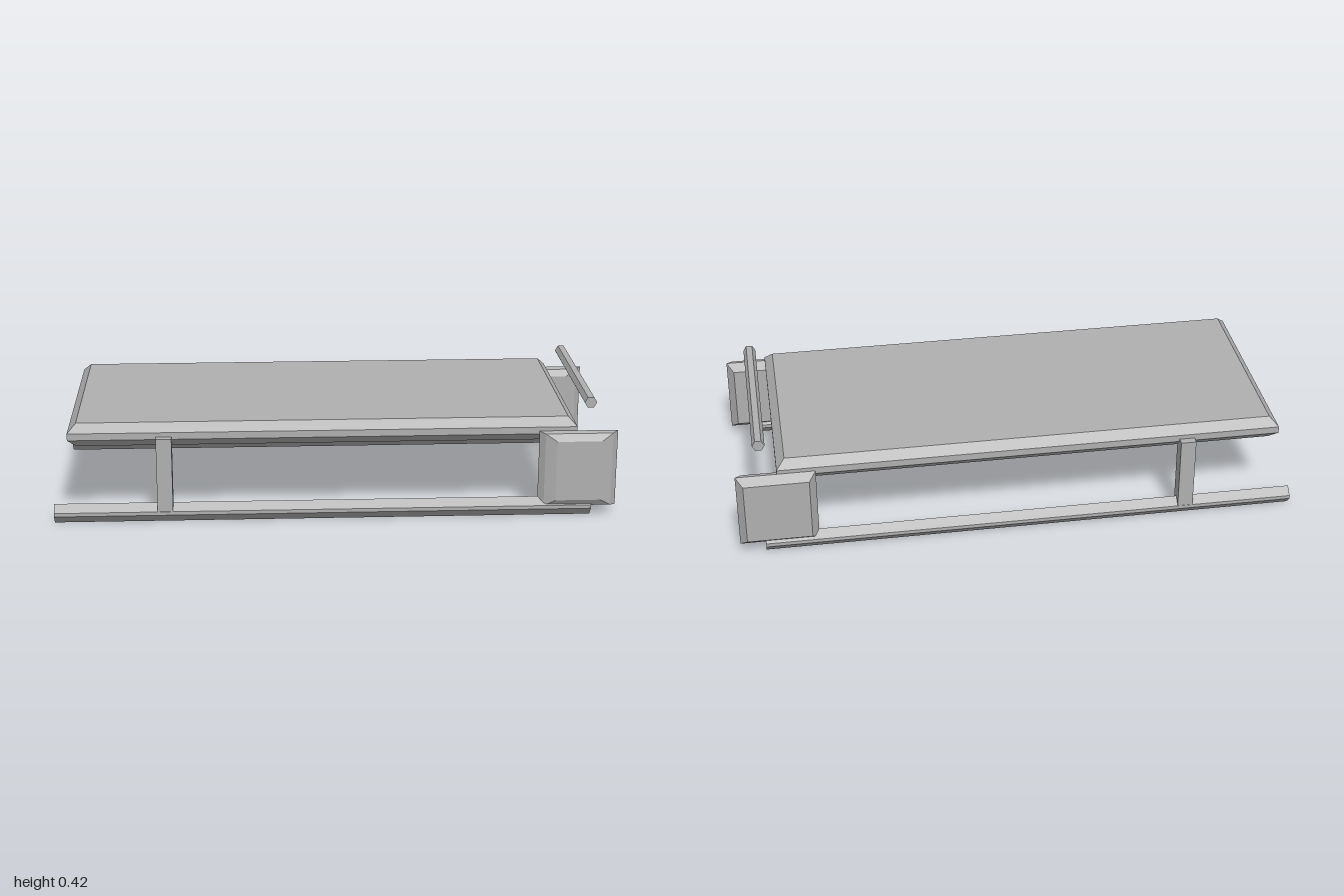
import * as THREE from 'three';

const grey = new THREE.MeshStandardMaterial({ color: 0xb0b0b0, flatShading: true });
grey.name = 'plain grey';

// Bevelled slab along y: each level is [y, inset in x, inset in z]
function bevelledSlab(width, depth, levels) {
  const rings = levels.map(([y, ix, iz]) => {
    const a = width / 2 - ix, b = depth / 2 - iz;
    return [[-a, y, b], [a, y, b], [a, y, -b], [-a, y, -b]];
  });
  const pos = [];
  const quad = (a, b, c, d) => pos.push(...a, ...b, ...c, ...a, ...c, ...d);
  for (let i = 0; i + 1 < rings.length; i++) {
    for (let k = 0; k < 4; k++) {
      const n = (k + 1) % 4;
      quad(rings[i][k], rings[i][n], rings[i + 1][n], rings[i + 1][k]);
    }
  }
  const low = rings[0];
  quad(...rings[rings.length - 1]);
  quad(low[3], low[2], low[1], low[0]);
  const geo = new THREE.BufferGeometry();
  geo.setAttribute('position', new THREE.Float32BufferAttribute(pos, 3));
  geo.computeVertexNormals();
  return geo;
}

export function createModel() {
  const model = new THREE.Group();
  model.name = 'sled';
  const add = (name, geo, x, y, z) => {
    const mesh = new THREE.Mesh(geo, grey);
    mesh.name = name;
    mesh.position.set(x, y, z);
    model.add(mesh);
  };

  // Flat deck with bevelled edges
  add('deck', bevelledSlab(1.8, 0.79, [
    [0.275, 0.03, 0.03], [0.305, 0, 0], [0.33, 0, 0], [0.36, 0.03, 0.03],
  ]), -0.045, 0, -0.005);

  // Six-sided runner with a ridge above and below
  const section = new THREE.Shape([
    [0, 0], [0.028, 0.031], [0.028, 0.044], [0, 0.07], [-0.028, 0.044], [-0.028, 0.031],
  ].map(([u, v]) => new THREE.Vector2(u, v)));
  const runner = new THREE.ExtrudeGeometry(section, { depth: 1.91, bevelEnabled: false });
  runner.rotateY(Math.PI / 2);

  // End panel, with its wider bevel towards the front
  const panel = bevelledSlab(0.28, 0.28, [
    [-0.03, 0.025, 0.025], [0, 0, 0], [0.02, 0.02, 0.005], [0.036, 0.06, 0.03],
  ]);
  panel.rotateX(Math.PI / 2);

  const post = new THREE.BoxGeometry(0.055, 0.275, 0.055);

  // One runner, post and panel on each side
  for (const [side, z] of [['front', 0.39], ['back', -0.4]]) {
    add(side + 'Runner', runner, -1, 0, z);
    add(side + 'Post', post, -0.607, 0.177, z);
    add(side + 'EndPanel', panel, 0.86, 0.176, z);
  }

  // Hexagonal push bar beyond the deck
  const bar = new THREE.CylinderGeometry(0.022, 0.022, 0.67, 6, 1, false, Math.PI / 2);
  bar.rotateX(Math.PI / 2);
  add('pushBar', bar, 0.91, 0.4, -0.005);

  return model;
}
